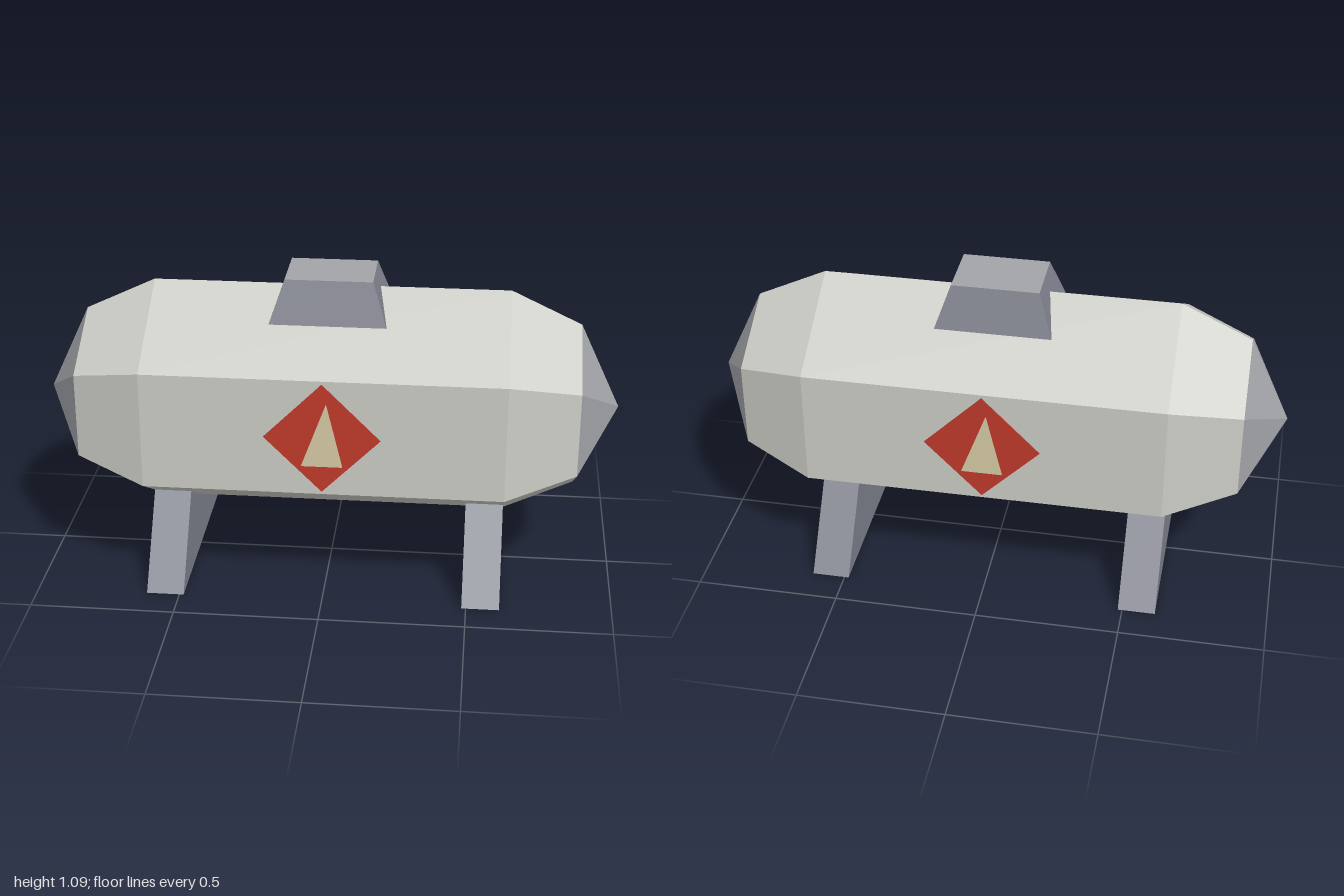
import * as THREE from 'three';

const paint = (name, color) => {
  const m = new THREE.MeshStandardMaterial({ color, flatShading: true });
  m.name = name;
  return m;
};

export function createModel() {
  const hull = paint('hull grey', 0xccccc6);
  const cap = paint('cap grey', 0xa2a4a8);
  const slate = paint('slate', 0x7f818d);
  const red = paint('sign red', 0xc0392b);
  const cream = paint('sign cream', 0xd6caa5);

  const model = new THREE.Group();
  model.name = 'tank';
  const add = (name, geometry, material, parent = model) => {
    const mesh = new THREE.Mesh(geometry, material);
    mesh.name = name;
    parent.add(mesh);
    return mesh;
  };

  // Six-sided shell around the x axis with a ridge at the top
  const CENTRE = 0.617;
  const shell = (profile) => {
    const points = profile.map(([r, x]) => new THREE.Vector2(r, x));
    return new THREE.LatheGeometry(points, 6)
      .rotateZ(-Math.PI / 2).rotateX(Math.PI / 2).translate(0, CENTRE, 0);
  };
  add('tankBody', shell([[0.3, -0.858], [0.415, -0.615], [0.415, 0.615], [0.3, 0.858]]), hull);
  add('rightEndCap', shell([[0, -1], [0.3, -0.858]]), cap);
  add('leftEndCap', shell([[0.3, 0.858], [0, 1]]), cap);

  // Box whose top is narrowed to its own half sizes
  const taperedBox = (bx, bz, tx, tz, y0, y1) => {
    const g = new THREE.BoxGeometry(2, 1, 2);
    const p = g.attributes.position;
    for (let i = 0; i < p.count; i++) {
      const top = p.getY(i) > 0;
      p.setXYZ(i, p.getX(i) * (top ? tx : bx), top ? y1 : y0, p.getZ(i) * (top ? tz : bz));
    }
    g.computeVertexNormals();
    return g;
  };

  // Hatch on the ridge, with a lighter lid
  add('hatch', taperedBox(0.2, 0.16, 0.15, 0.11, 0.94, 1.085),
    [slate, slate, cap, slate, slate, slate]);

  // Two saddle legs
  for (const [side, name] of [[1, 'leftLeg'], [-1, 'rightLeg']]) {
    add(name, taperedBox(0.065, 0.38, 0.065, 0.16, 0, 0.3), slate).position.x = side * 0.55;
  }

  // Warning sign on the front and back
  const plate = (corners, z) => {
    const shape = new THREE.Shape(corners.map(([x, y]) => new THREE.Vector2(x, y)));
    return new THREE.ExtrudeGeometry(shape, { depth: 0.004, bevelEnabled: false }).translate(0, 0, z);
  };
  for (const [angle, name] of [[0, 'frontSign'], [Math.PI, 'backSign']]) {
    const sign = new THREE.Group();
    sign.name = name;
    sign.position.y = CENTRE;
    sign.rotation.y = angle;
    add('signDiamond', plate([[0, -0.197], [0.197, 0], [0, 0.197], [-0.197, 0]], 0.359), red, sign);
    add('signTriangle', plate([[-0.07, -0.102], [0.07, -0.102], [0.015, 0.128]], 0.362), cream, sign);
    model.add(sign);
  }
  return model;
}
